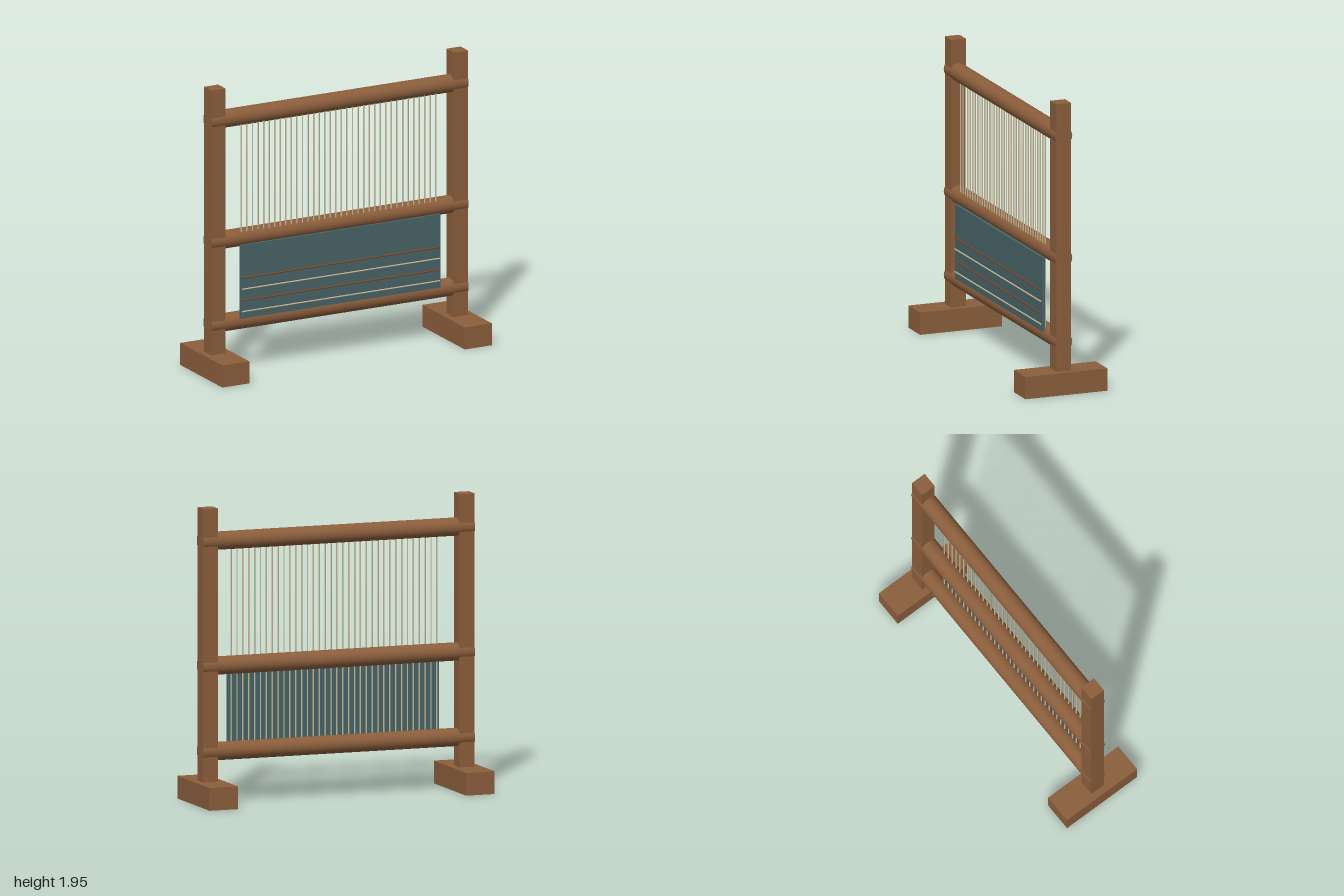
import * as THREE from 'three';

export function createModel() {
  const loom = new THREE.Group();
  loom.name = 'loom';

  const material = (name, color) => {
    const m = new THREE.MeshStandardMaterial({ color });
    m.name = name;
    return m;
  };
  const wood = material('wood', 0x8b5e3c);
  const cloth = material('tealCloth', 0x486468);
  const rust = material('brownYarn', 0x7a4a2c);
  const cream = material('creamYarn', 0xc8b898);

  const add = (name, geometry, mat, x, y, z) => {
    const mesh = new THREE.Mesh(geometry, mat);
    mesh.name = name;
    mesh.position.set(x, y, z);
    loom.add(mesh);
    return mesh;
  };

  // Feet and uprights, mirrored
  for (const [side, s] of [['left', 1], ['right', -1]]) {
    add(side + 'Foot', new THREE.BoxGeometry(0.2, 0.15, 0.58), wood, s * 0.9, 0.075, 0);
    add(side + 'Post', new THREE.BoxGeometry(0.106, 1.81, 0.104), wood, s * 0.9, 1.05, 0);
  }

  // Round crossbars running through the posts
  const bar = new THREE.CylinderGeometry(0.06, 0.06, 1.906, 32).rotateZ(Math.PI / 2);
  const bars = { topBeam: 1.735, middleBeam: 0.91, bottomBeam: 0.345 };
  for (const [name, y] of Object.entries(bars)) add(name, bar, wood, 0, y, 0);

  // Warp threads stretched from top beam to bottom beam
  const warpCount = 36;
  const warp = new THREE.CylinderGeometry(0.005, 0.005, 1.39, 8);
  for (let i = 0; i < warpCount; i++) {
    const x = -0.722 + (1.444 * i) / (warpCount - 1);
    add('warpThread', warp, cream, x, 1.04, 0.036);
  }

  // Woven panel with raised weft stripes
  add('wovenCloth', new THREE.BoxGeometry(1.484, 0.5, 0.02), cloth, 0, 0.622, 0.056);
  const stripes = [
    [0.65, rust, 0.006], [0.573, cream, 0.005],
    [0.496, rust, 0.006], [0.42, cream, 0.005],
  ];
  for (const [y, mat, r] of stripes) {
    const weft = new THREE.CylinderGeometry(r, r, 1.466, 8).rotateZ(Math.PI / 2);
    add('weftStripe', weft, mat, 0, y, 0.07);
  }

  return loom;
}
